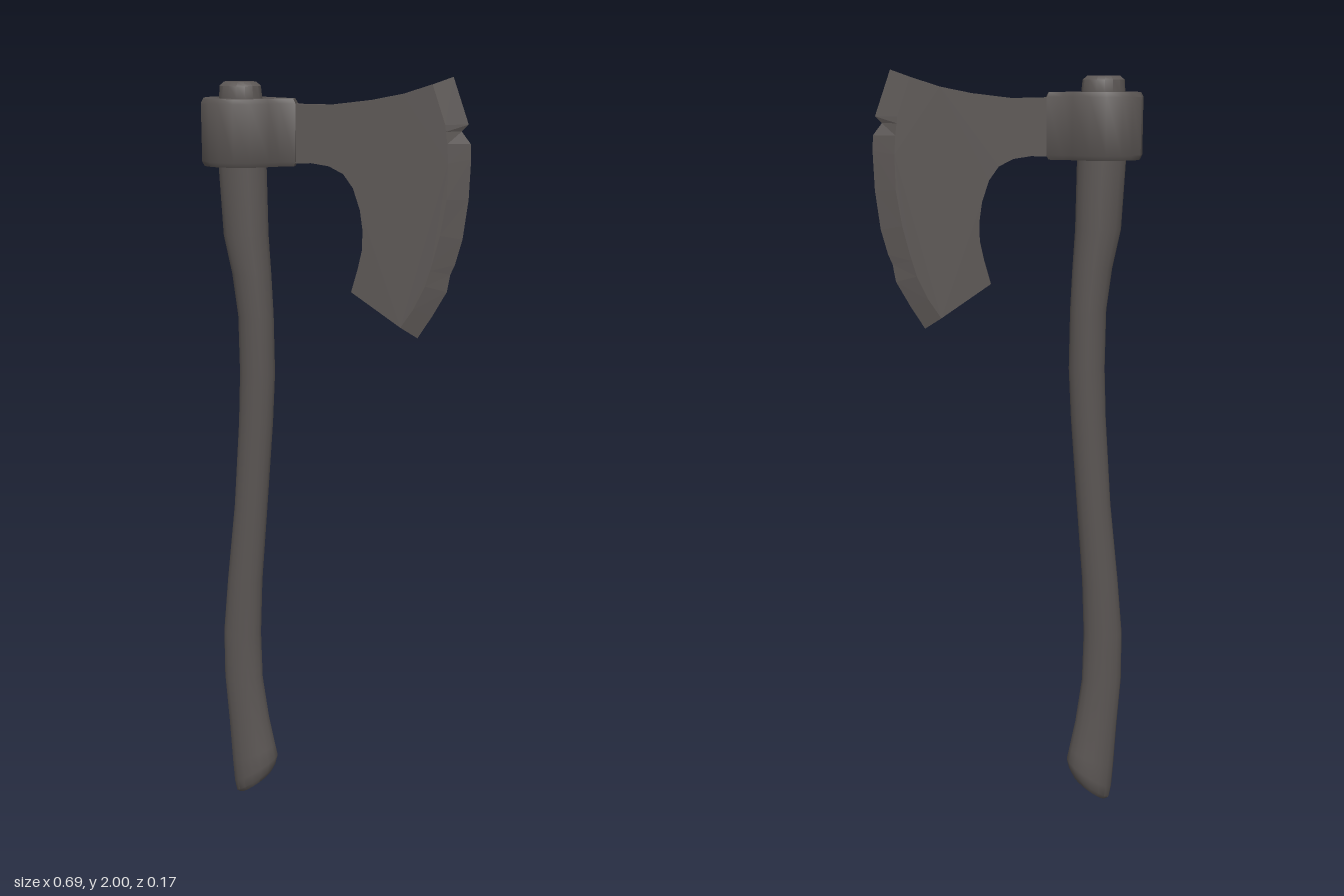
import * as THREE from 'three';
import { toCreasedNormals } from 'three/addons/utils/BufferGeometryUtils.js';

const iron = new THREE.MeshStandardMaterial({ color: 0x5a5553 });
iron.name = 'dark grey';

const T = 0.014; // half thickness of the blade

function mesh(name, geometry) {
  const m = new THREE.Mesh(geometry, iron);
  m.name = name;
  return m;
}

function buffer(positions, index) {
  const g = new THREE.BufferGeometry();
  g.setAttribute('position', new THREE.Float32BufferAttribute(positions, 3));
  if (index) g.setIndex(index);
  g.computeVertexNormals();
  return g;
}

// Curved handle: oval rings from top to bottom [y, left x, right x, half depth, slope]
function handleGeometry() {
  const rings = [
    [1.985, -0.285, -0.202, 0.03, 0],
    [1.975, -0.297, -0.190, 0.041, 0],
    [1.945, -0.299, -0.187, 0.044, 0],
    [1.78, -0.304, -0.178, 0.047, 0],
    [1.6, -0.294, -0.175, 0.046, 0],
    [1.5, -0.273, -0.169, 0.044, 0],
    [1.39, -0.259, -0.164, 0.042, 0],
    [1.235, -0.257, -0.162, 0.040, 0],
    [1.1, -0.262, -0.169, 0.038, 0],
    [0.865, -0.278, -0.187, 0.037, 0],
    [0.65, -0.301, -0.204, 0.037, 0],
    [0.495, -0.315, -0.210, 0.037, 0],
    [0.36, -0.315, -0.207, 0.037, 0],
    [0.23, -0.305, -0.190, 0.040, 0.1],
    [0.13, -0.298, -0.174, 0.046, 0.4],
    [0.08, -0.293, -0.167, 0.050, 0.65],
    [0.05, -0.287, -0.174, 0.046, 0.75],
    [0.035, -0.276, -0.186, 0.036, 0.75],
  ];
  const n = 16, pos = [], idx = [];
  for (const [y, l, r, hz, slope] of rings) {
    for (let j = 0; j < n; j++) {
      const a = (j / n) * Math.PI * 2, dx = Math.cos(a) * (r - l) / 2;
      pos.push((l + r) / 2 + dx, y + slope * dx, Math.sin(a) * hz);
    }
  }
  const last = rings.length - 1, top = pos.length / 3, bottom = top + 1;
  for (const [y, l, r] of [rings[0], rings[last]]) pos.push((l + r) / 2, y, 0);
  for (let j = 0; j < n; j++) {
    const k = (j + 1) % n;
    for (let i = 0; i < last; i++) {
      const u = i * n, d = u + n;
      idx.push(u + j, u + k, d + j, u + k, d + k, d + j);
    }
    idx.push(top, k, j, bottom, last * n + j, last * n + k);
  }
  return toCreasedNormals(buffer(pos, idx), 0.75);
}

// Collar around the handle, narrowing into the neck of the blade
function collarGeometry() {
  const half = [[-0.339, 0], [-0.331, 0.037], [-0.308, 0.059], [-0.283, 0.07], [-0.245, 0.077],
    [-0.206, 0.069], [-0.165, 0.042], [-0.14, 0.023], [-0.105, 0.013]];
  const outline = [...half, ...half.slice(1).reverse().map(([x, z]) => [x, -z])];
  const shape = new THREE.Shape(outline.map(([x, z]) => new THREE.Vector2(x, z)));
  const hole = new THREE.Path();
  hole.absellipse(-0.241, 0, 0.063, 0.051, 0, Math.PI * 2);
  shape.holes.push(hole);
  const g = new THREE.ExtrudeGeometry(shape, {
    depth: 0.144, bevelEnabled: true, bevelSize: 0.006, bevelThickness: 0.012,
    bevelSegments: 1, curveSegments: 10,
  });
  g.rotateX(-Math.PI / 2);
  g.translate(0, 1.789, 0);
  return toCreasedNormals(g, 0.7);
}

// Cutting edge from top to bottom: [outer x, y, inner x, y], with small nicks
const edge = [
  [0.295, 2.0, 0.245, 1.982],
  [0.335, 1.885, 0.278, 1.885],
  [0.318, 1.868, 0.28, 1.868],
  [0.341, 1.838, 0.284, 1.838],
  [0.343, 1.8, 0.287, 1.79],
  [0.339, 1.7, 0.285, 1.7],
  [0.326, 1.6, 0.27, 1.61],
  [0.308, 1.535, 0.252, 1.54],
  [0.297, 1.51, 0.246, 1.52],
  [0.289, 1.465, 0.234, 1.48],
  [0.252, 1.4, 0.205, 1.42],
  [0.215, 1.342, 0.172, 1.371],
];

// Flat bearded plate
function plateGeometry() {
  const back = [[0.043, 1.46], [0.06, 1.52], [0.071, 1.57], [0.072, 1.62], [0.065, 1.67], [0.047, 1.725],
    [0.022, 1.76], [-0.015, 1.779], [-0.06, 1.786], [-0.1, 1.785], [-0.15, 1.777],
    [-0.15, 1.94], [-0.09, 1.931], [-0.01, 1.93], [0.09, 1.942], [0.17, 1.958]];
  const points = [...back, ...edge.map((e) => [e[2], e[3]])];
  const shape = new THREE.Shape(points.map(([x, y]) => new THREE.Vector2(x, y)));
  const g = new THREE.ExtrudeGeometry(shape, { depth: 2 * T, bevelEnabled: false });
  g.translate(0, 0, -T);
  return toCreasedNormals(g, 0.6);
}

// Ground wedge that tapers to the sharp edge
function wedgeGeometry() {
  const pos = [];
  const out = (e) => [e[0], e[1], 0];
  const inn = (e, z) => [e[2], e[3], z];
  const tri = (a, b, c) => pos.push(...a, ...b, ...c);
  for (let i = 0; i < edge.length - 1; i++) {
    const a = edge[i], b = edge[i + 1];
    tri(inn(a, T), inn(b, T), out(a));
    tri(inn(b, T), out(b), out(a));
    tri(inn(a, -T), out(a), inn(b, -T));
    tri(inn(b, -T), out(a), out(b));
  }
  const first = edge[0], last = edge[edge.length - 1];
  tri(inn(first, T), out(first), inn(first, -T));
  tri(inn(last, T), inn(last, -T), out(last));
  return buffer(pos);
}

export function createModel() {
  const model = new THREE.Group();
  model.name = 'axe';
  const head = new THREE.Group();
  head.name = 'axeHead';
  head.add(
    mesh('collar', collarGeometry()),
    mesh('blade', plateGeometry()),
    mesh('cuttingEdge', wedgeGeometry()),
  );
  model.add(mesh('handle', handleGeometry()), head);
  return model;
}
